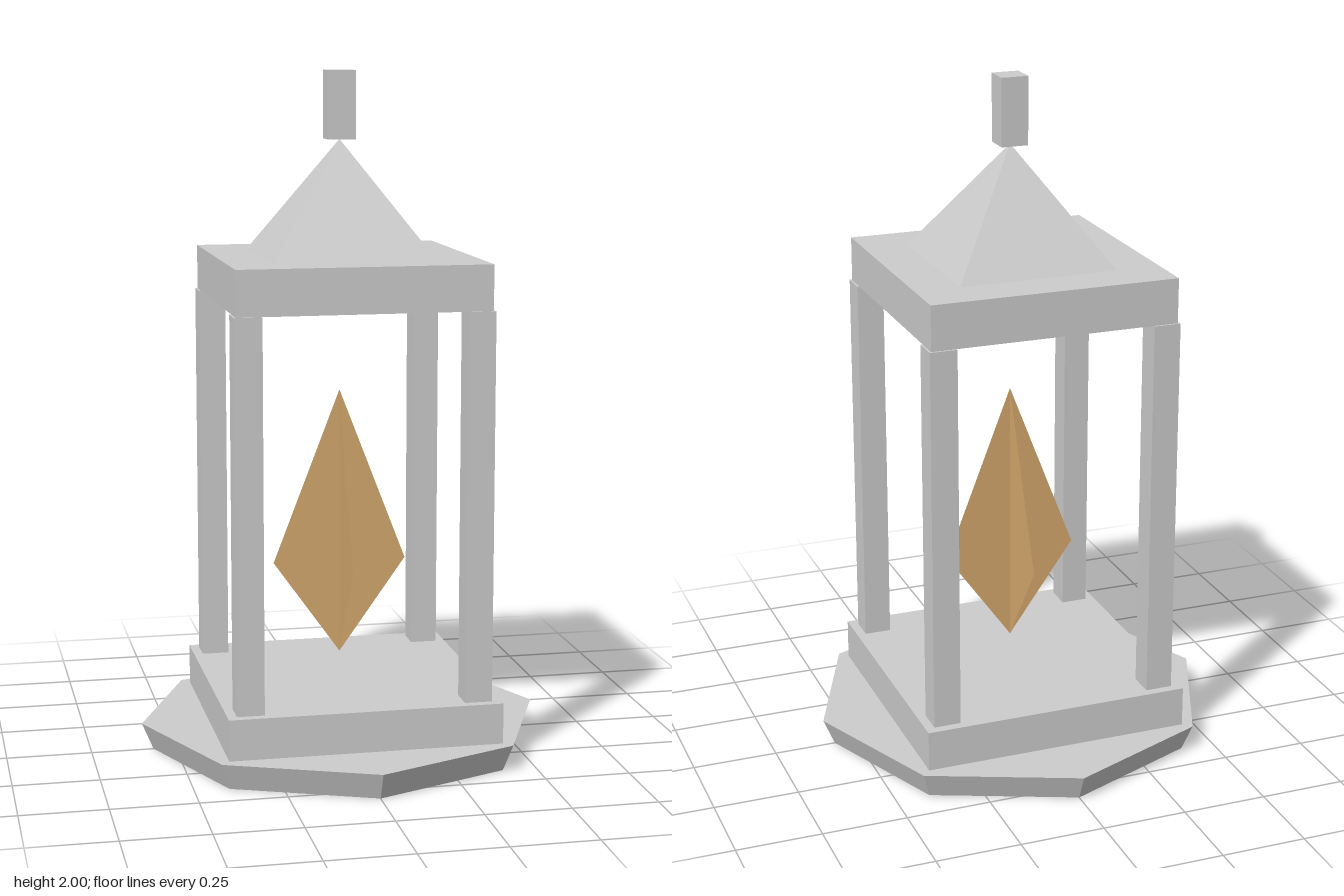
import * as THREE from 'three';

export function createModel() {
  const model = new THREE.Group();
  model.name = 'lantern';

  const stone = new THREE.MeshStandardMaterial({ color: 0xcccccc, flatShading: true });
  stone.name = 'pale grey';
  const amber = new THREE.MeshStandardMaterial({ color: 0xd6a96d, side: THREE.DoubleSide, flatShading: true });
  amber.name = 'amber';

  const add = (name, geometry, material, x = 0, y = 0, z = 0) => {
    const mesh = new THREE.Mesh(geometry, material);
    mesh.name = name;
    mesh.position.set(x, y, z);
    model.add(mesh);
    return mesh;
  };
  // Square block spanning y0 to y1
  const block = (name, width, y0, y1, x = 0, z = 0) =>
    add(name, new THREE.BoxGeometry(width, y1 - y0, width), stone, x, (y0 + y1) / 2, z);

  // Octagonal foot, flaring upwards, and the square plinth on it
  add('foot', new THREE.CylinderGeometry(0.6, 0.566, 0.08, 8), stone, 0, 0.04, 0);
  block('plinth', 0.8, 0.08, 0.2);

  // Four corner posts
  for (const x of [-1, 1]) {
    for (const z of [-1, 1]) block('post', 0.08, 0.2, 1.335, x * 0.333, z * 0.333);
  }

  // Roof slab, pyramid and finial
  block('roofSlab', 0.734, 1.335, 1.467);
  const pyramid = new THREE.ConeGeometry(0.235 * Math.SQRT2, 0.335, 4);
  pyramid.rotateY(Math.PI / 4);
  add('roofPyramid', pyramid, stone, 0, 1.6345, 0);
  block('finial', 0.08, 1.802, 2);

  // Flame: two crossed kite-shaped sheets
  const kite = new THREE.Shape([
    new THREE.Vector2(0, 0.27),
    new THREE.Vector2(0.2, 0.55),
    new THREE.Vector2(0, 1.067),
    new THREE.Vector2(-0.2, 0.55),
  ]);
  for (const angle of [0, Math.PI / 2]) {
    add('flame', new THREE.ShapeGeometry(kite), amber).rotation.y = angle;
  }

  return model;
}
